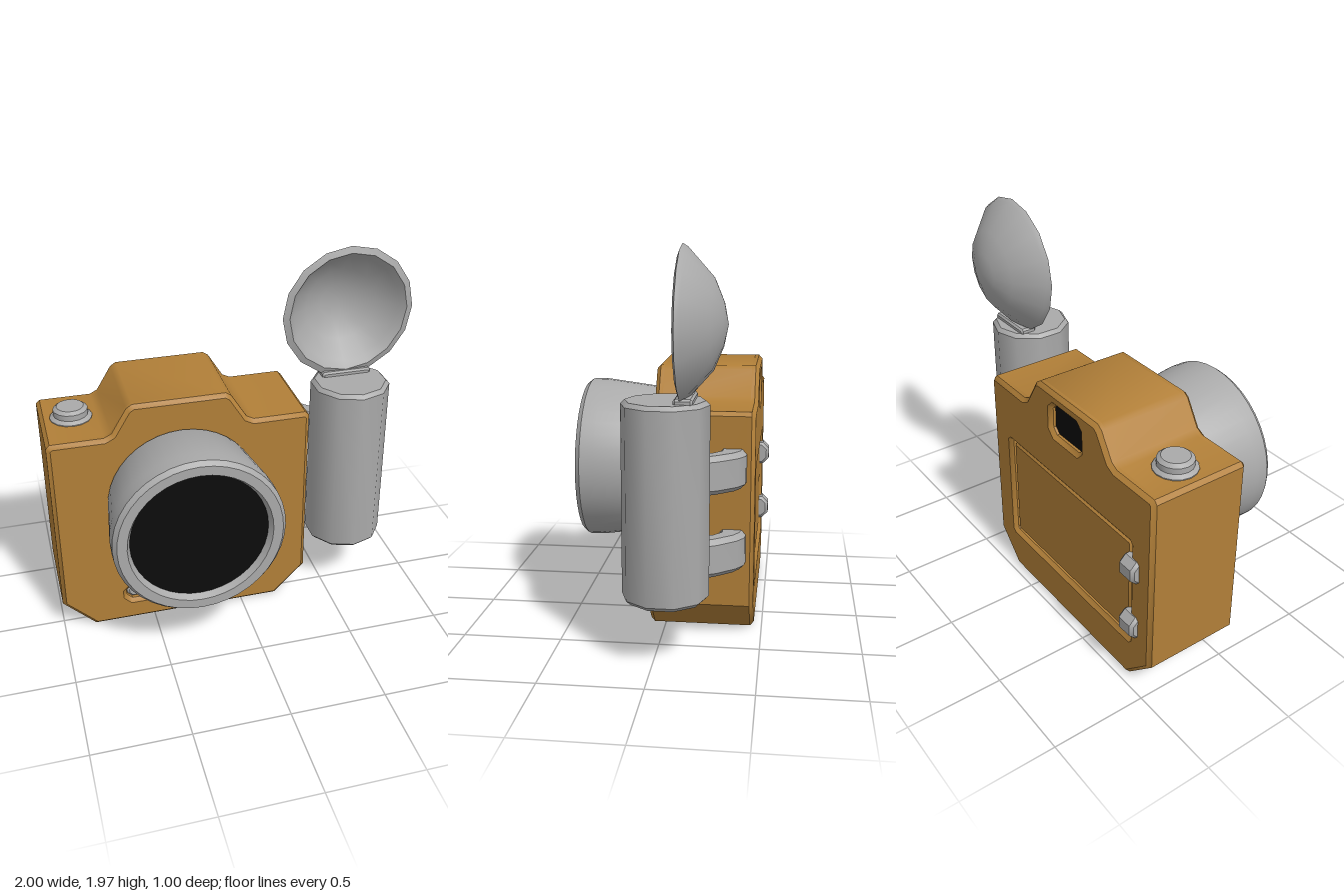
import * as THREE from 'three';
import { toCreasedNormals } from 'three/addons/utils/BufferGeometryUtils.js';

const mat = (name, color) => {
  const m = new THREE.MeshStandardMaterial({ color });
  m.name = name;
  return m;
};

const polygon = (pts) => new THREE.Shape(pts.map(([x, y]) => new THREE.Vector2(x, y)));

// Rectangle with cut corners
const cutRect = (x0, x1, y0, y1, c) => polygon([
  [x0 + c, y0], [x1 - c, y0], [x1, y0 + c], [x1, y1 - c],
  [x1 - c, y1], [x0 + c, y1], [x0, y1 - c], [x0, y0 + c],
]);

// Slab between two depths, bevelled inwards from its outline
function slab(shape, z0, z1, bevel = 0) {
  const g = new THREE.ExtrudeGeometry(shape, {
    depth: z1 - z0 - 2 * bevel, bevelEnabled: bevel > 0, bevelSegments: 1,
    bevelSize: bevel, bevelThickness: bevel, bevelOffset: -bevel,
  });
  return g.translate(0, 0, z0 + bevel);
}

function lathe(profile, sides) {
  const g = new THREE.LatheGeometry(profile.map(([r, y]) => new THREE.Vector2(r, y)), sides);
  return g;
}

export function createModel() {
  const model = new THREE.Group();
  model.name = 'camera';
  const brown = mat('brown', 0xb17f38);
  const grey = mat('grey', 0xaaaaaa);
  const black = mat('black', 0x0c0c0c);

  const add = (name, geometry, material, crease = 0.6) => {
    const mesh = new THREE.Mesh(toCreasedNormals(geometry, crease), material);
    mesh.name = name;
    model.add(mesh);
    return mesh;
  };

  // Body: a plain core between two bevelled slabs that hold the recesses
  const outline = () => polygon([
    [-0.83, 0], [0.2, 0], [0.37, 0.17], [0.37, 1.14], [0.35, 1.16],
    [0.07, 1.16], [0.03, 1.18], [-0.05, 1.31], [-0.08, 1.33],
    [-0.56, 1.33], [-0.59, 1.31], [-0.67, 1.18], [-0.71, 1.16],
    [-0.98, 1.16], [-1, 1.14], [-1, 0.17],
  ]);
  const front = outline();
  front.holes.push(cutRect(-0.65, 0.01, 0.13, 0.22, 0.03));
  const back = outline();
  back.holes.push(cutRect(-0.84, 0.21, 0.24, 0.84, 0.01));
  back.holes.push(cutRect(-0.44, -0.19, 1.09, 1.26, 0.03));
  add('bodyCore', slab(outline(), -0.42, 0.04), brown);
  add('bodyFront', slab(front, 0.02, 0.08, 0.02), brown);
  add('bodyBack', slab(back, -0.46, -0.4, 0.02), brown);

  // Recessed details
  add('frontSlotPlate', slab(cutRect(-0.645, 0.005, 0.135, 0.215, 0.025), 0.03, 0.058, 0.012), grey);
  add('backDoor', slab(cutRect(-0.825, 0.195, 0.255, 0.825, 0.01), -0.445, -0.41, 0.01), brown);
  add('viewfinderWindow', slab(cutRect(-0.44, -0.19, 1.09, 1.26, 0.03), -0.426, -0.418), black);

  // Door hinges
  for (const y of [0.36, 0.7]) {
    const profile = polygon([
      [0.42, -0.065], [0.465, -0.065], [0.5, -0.03], [0.5, 0.03], [0.465, 0.065], [0.42, 0.065],
    ]);
    const hinge = slab(profile, -0.055, 0.055, 0.015);
    hinge.rotateY(Math.PI / 2);
    add('doorHinge', hinge.translate(-0.855, y, 0), grey);
  }

  // Shutter button
  add('shutterButton', lathe([
    [0.11, 1.15], [0.11, 1.165], [0.09, 1.18], [0.09, 1.21], [0.07, 1.225], [0, 1.225],
  ], 16).translate(-0.84, 0, -0.21), grey);

  // Lens barrel, flaring forwards, with its glass sunk in the rim
  add('lensBarrel', lathe([
    [0.38, 0.06], [0.4, 0.095], [0.44, 0.4], [0.44, 0.475], [0.42, 0.5], [0.37, 0.5], [0.35, 0.46],
  ], 40).rotateX(Math.PI / 2).translate(-0.32, 0.77, 0), grey);
  add('lensGlass', new THREE.CircleGeometry(0.355, 40).translate(-0.32, 0.77, 0.465), black);

  // Flash handle
  add('flashHandle', lathe([
    [0, 0.3], [0.19, 0.3], [0.21, 0.32], [0.21, 1.24], [0.19, 1.26], [0, 1.26],
  ], 10).translate(0.635, 0, -0.05), grey, 0.7);

  // Elbow brackets joining the handle to the body
  for (const y of [0.38, 0.79]) {
    const elbow = polygon([
      [0.35, 0.42], [0.42, 0.415], [0.48, 0.38], [0.56, 0.29], [0.61, 0.2],
      [0.5, 0.15], [0.45, 0.25], [0.41, 0.28], [0.35, 0.28],
    ]);
    const bracket = slab(elbow, 0, 0.19, 0.025);
    add('flashBracket', bracket.rotateX(-Math.PI / 2).translate(0, y, 0), grey);
  }

  // Reflector dish and its foot
  add('flashReflector', lathe([
    [0, -0.34], [0.1, -0.32], [0.21, -0.275], [0.345, -0.155], [0.36, -0.13],
    [0.325, -0.118], [0.29, -0.16], [0.2, -0.24], [0.1, -0.285], [0, -0.3],
  ], 16).rotateX(Math.PI / 2).translate(0.635, 1.61, 0), grey);
  add('reflectorFoot', slab(cutRect(0.5, 0.77, 1.25, 1.285, 0.01), -0.19, -0.1, 0.01), grey);

  return model;
}
